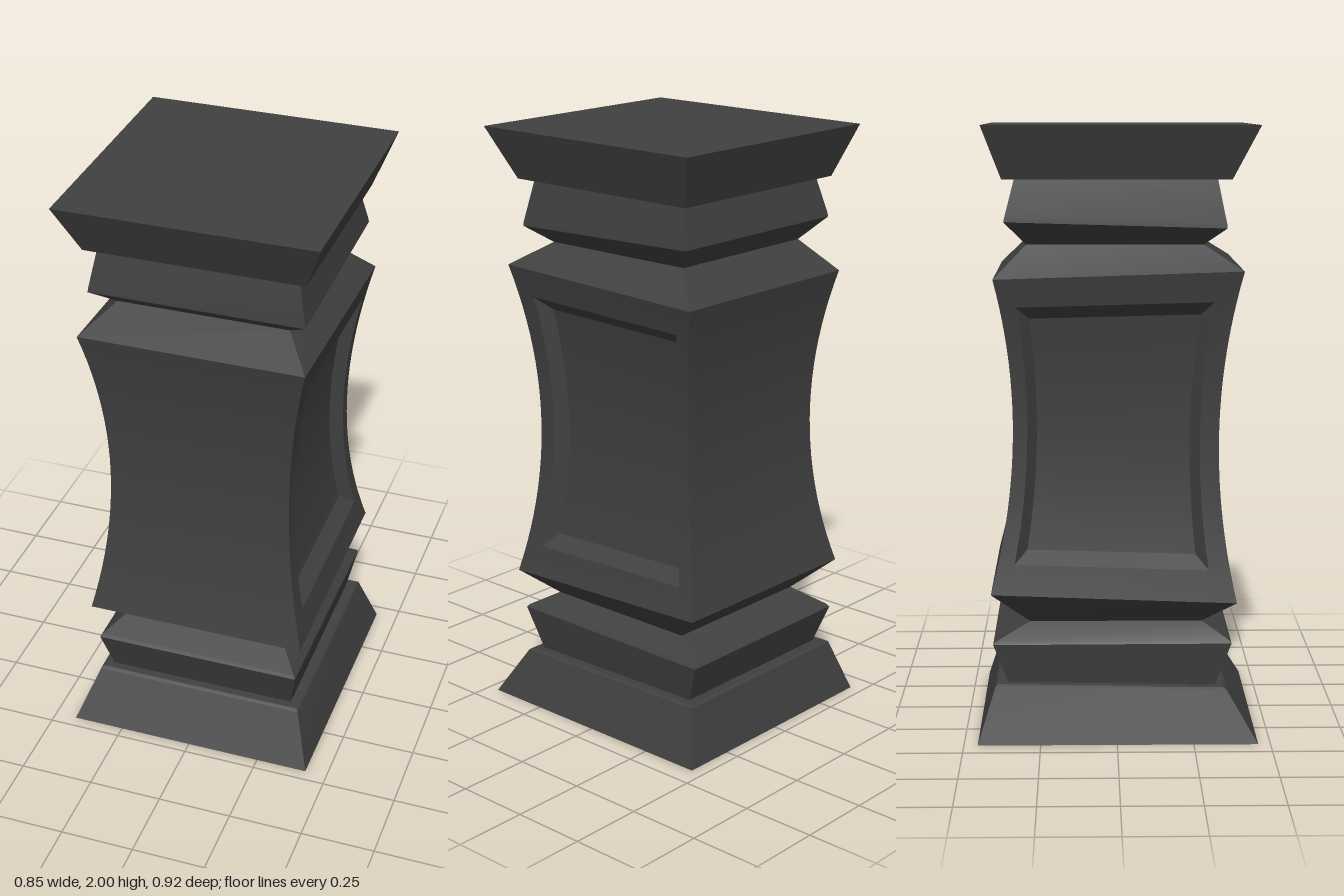
import * as THREE from 'three';
import { toCreasedNormals } from 'three/addons/utils/BufferGeometryUtils.js';

const material = new THREE.MeshStandardMaterial({ color: 0x404040 });
const lerp = THREE.MathUtils.lerp;

function quad(out, a, b, c, d) {
  out.push(...a, ...b, ...c, ...a, ...c, ...d);
}

// A section is [half width, front z, front y, back z, back y].
function corners([hx, zf, yf, zb, yb]) {
  return [[-hx, yf, zf], [hx, yf, zf], [hx, yb, zb], [-hx, yb, zb]];
}

// Walls between successive sections; sides: 0 front, 1 left, 2 back, 3 right.
function loft(out, sections, sides = [0, 1, 2, 3]) {
  const rings = sections.map(corners);
  for (let r = 0; r < rings.length - 1; r++) {
    for (const i of sides) {
      const j = (i + 1) % 4;
      quad(out, rings[r][i], rings[r][j], rings[r + 1][j], rings[r + 1][i]);
    }
  }
}

function addCaps(out, sections) {
  const [a, b, c, d] = corners(sections[0]);
  quad(out, d, c, b, a);
  quad(out, ...corners(sections[sections.length - 1]));
}

function makeMesh(name, positions) {
  const geometry = new THREE.BufferGeometry();
  geometry.setAttribute('position', new THREE.Float32BufferAttribute(positions, 3));
  const mesh = new THREE.Mesh(toCreasedNormals(geometry, 0.35), material);
  mesh.name = name;
  return mesh;
}

function solid(name, sections) {
  const out = [];
  loft(out, sections);
  addCaps(out, sections);
  return makeMesh(name, out);
}

// Waisted shaft section at height fraction v
const shaftBottom = [0.375, 0.39, 0.46, -0.41, 0.49];
const shaftTop = [0.375, 0.405, 1.54, -0.395, 1.515];
function shaftSection(v) {
  const s = shaftBottom.map((b, i) => lerp(b, shaftTop[i], v));
  const sag = 0.066 * (1 - (2 * v - 1) ** 2);
  return [s[0] - sag, s[1] - sag, s[2], s[3] + sag, s[4]];
}

// Height fractions: frame edge, bevel, then the panel floor
const rows = [0, 0.045, 0.095];
for (let i = 0; i <= 16; i++) rows.push(lerp(0.135, 0.87, i / 16));
rows.push(0.91, 0.955, 1);
const columns = [-1, -0.86, -0.77, 0.72, 0.815, 1];

// Side face of the shaft with a bevelled, recessed panel
function sidePanel(out, side) {
  const last = rows.length - 1;
  const point = (i, j) => {
    const [hx, zf, yf, zb, yb] = shaftSection(rows[j]);
    const f = (columns[i] + 1) / 2;
    const recessed = i >= 2 && i <= 3 && j >= 3 && j <= last - 3;
    return [side * (hx - (recessed ? 0.04 : 0)), lerp(yb, yf, f), lerp(zb, zf, f)];
  };
  for (let j = 0; j < last; j++) {
    for (let i = 0; i < columns.length - 1; i++) {
      let c = [point(i + 1, j), point(i, j), point(i, j + 1), point(i + 1, j + 1)];
      if (side < 0) c.reverse();
      // Turn the diagonal so the bevel corners are mitred
      const alongRise = (i < 2) === (j < last / 2);
      if (alongRise === (side > 0)) c = [...c.slice(1), c[0]];
      if (side < 0) c = [...c.slice(1), c[0]], c = [...c.slice(1), c[0]];
      quad(out, ...c);
    }
  }
}

export function createModel() {
  const model = new THREE.Group();
  model.name = 'pedestal';

  model.add(solid('basePlinth', [
    [0.425, 0.46, 0, -0.455, 0],
    [0.363, 0.36, 0.165, -0.398, 0.18],
    [0.355, 0.35, 0.172, -0.39, 0.186],
  ]));

  model.add(solid('lowerCollar', [
    [0.325, 0.32, 0.165, -0.355, 0.18],
    [0.355, 0.375, 0.32, -0.405, 0.318],
    [0.348, 0.367, 0.33, -0.395, 0.328],
    [0.285, 0.28, 0.38, -0.285, 0.38],
  ]));

  // Shaft: flared ends and plain front and back walls
  const neckLow = [0.285, 0.28, 0.38, -0.285, 0.38];
  const neckHigh = [0.285, 0.28, 1.62, -0.29, 1.62];
  const walls = [];
  loft(walls, [neckLow, shaftBottom]);
  loft(walls, rows.map(shaftSection), [0, 2]);
  loft(walls, [shaftTop, neckHigh]);
  addCaps(walls, [neckLow, neckHigh]);
  model.add(makeMesh('shaftWalls', walls));

  for (const [name, side] of [['leftPanel', 1], ['rightPanel', -1]]) {
    const out = [];
    sidePanel(out, side);
    model.add(makeMesh(name, out));
  }

  model.add(solid('upperCollar', [
    neckHigh,
    [0.355, 0.35, 1.675, -0.36, 1.695],
    [0.353, 0.349, 1.69, -0.357, 1.71],
    [0.325, 0.32, 1.835, -0.325, 1.835],
  ]));

  model.add(solid('capital', [
    [0.36, 0.365, 1.83, -0.365, 1.83],
    [0.425, 0.45, 2, -0.428, 2],
  ]));

  return model;
}
